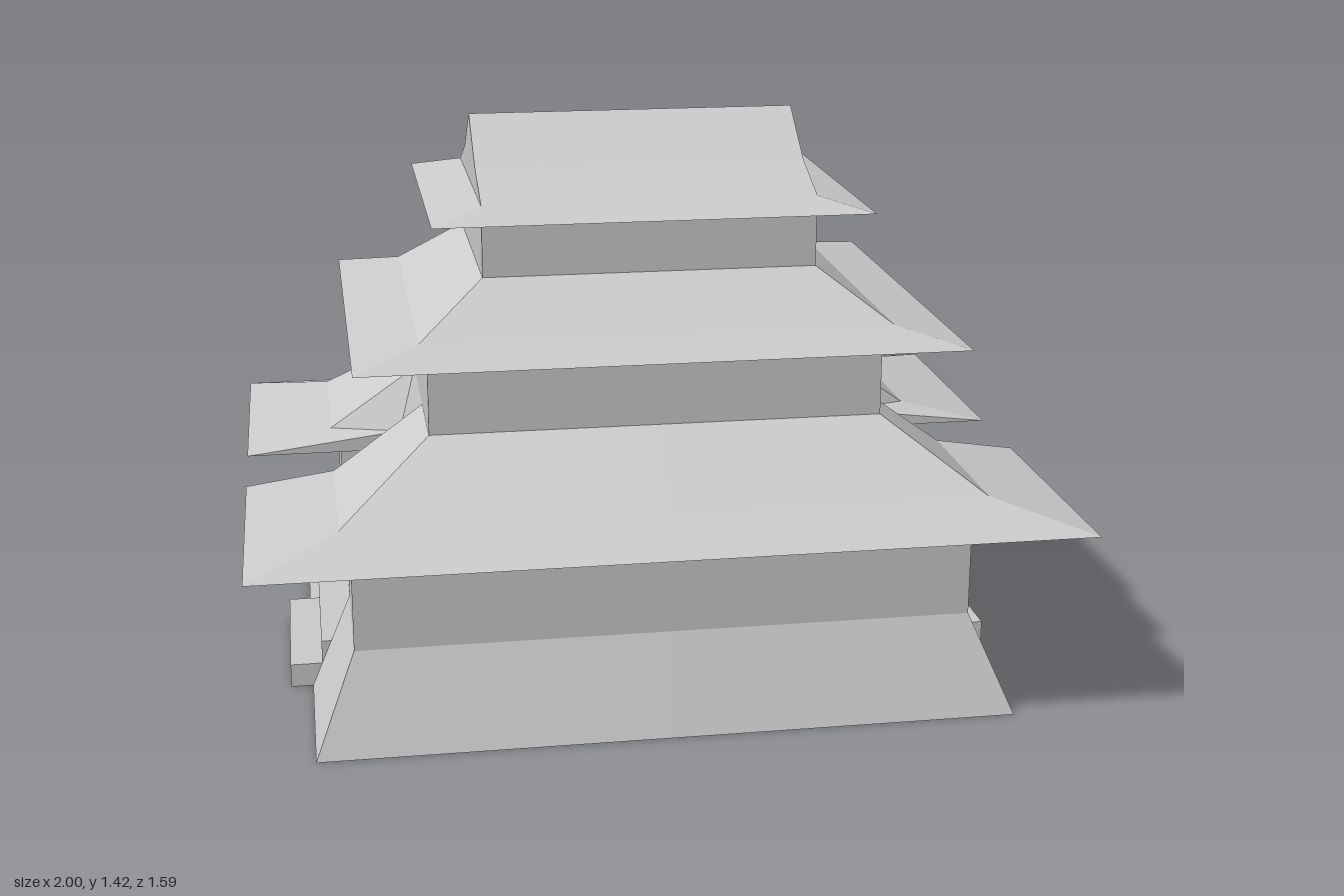
import * as THREE from 'three';

const material = new THREE.MeshStandardMaterial({ color: 0xcccccc, flatShading: true, side: THREE.DoubleSide });

// Mirrors the polygons of one quarter (+x, +z) into all four quarters.
function quarterMesh(name, polygons) {
  const pos = [];
  for (const sx of [1, -1]) for (const sz of [1, -1]) {
    for (const polygon of polygons) {
      const p = polygon.map(([x, y, z]) => [x * sx, y, z * sz]);
      if (sx * sz < 0) p.reverse().unshift(p.pop()); // keep the fan centre first
      for (let i = 1; i < p.length - 1; i++) pos.push(...p[0], ...p[i], ...p[i + 1]);
    }
  }
  const geometry = new THREE.BufferGeometry();
  geometry.setAttribute('position', new THREE.Float32BufferAttribute(pos, 3));
  geometry.computeVertexNormals();
  const mesh = new THREE.Mesh(geometry, material);
  mesh.name = name;
  return mesh;
}

// Rectangular rings [x, y, z] joined upwards; gap is the half width left open on the sides.
function shell(rings, gaps = []) {
  const out = [];
  for (let i = 0; i < rings.length - 1; i++) {
    const a = rings[i], b = rings[i + 1];
    const ga = gaps[i] || 0, gb = gaps[i + 1] || 0;
    out.push([[0, a[1], a[2]], a, b, [0, b[1], b[2]]]);
    out.push([a, [a[0], a[1], ga], [b[0], b[1], gb], b]);
  }
  return out;
}

export function createModel() {
  const model = new THREE.Group();
  model.name = 'pagoda';
  const door = 0.22, back = 0.6, notch = 0.12;

  // Ground storey: flared base and walls, open at the side doorways
  model.add(quarterMesh('groundStorey', shell(
    [[0.855, 0, 0.66], [0.755, 0.24, 0.57], [0.755, 0.51, 0.57]], [door, door, door])));

  // Recessed doorway: jambs and back wall
  model.add(quarterMesh('doorway', [
    [[0.755, 0.24, door], [0.855, 0, door], [back, 0, door], [back, 0.51, door], [0.755, 0.51, door]],
    [[back, 0.18, 0], [back, 0.56, 0], [back, 0.56, notch], [back, 0.51, notch],
      [back, 0.51, door], [back, 0.18, door]],
  ]));

  // Lower roof, notched above the doorways, with a flat underside
  const eave = [1, 0.51, 0.795], bend = [0.78, 0.56, 0.61], top = [0.555, 0.72, 0.42];
  model.add(quarterMesh('lowerRoof', [
    ...shell([eave, bend, top], [notch, 0.175, 0.165]),
    [[0, 0.51, 0.57], [0.755, 0.51, 0.57], eave, [0, 0.51, 0.795]],
    [[1, 0.51, notch], eave, [0.755, 0.51, 0.57], [0.755, 0.51, door]],
    [[1, 0.51, notch], [0.755, 0.51, door], [back, 0.51, door], [back, 0.51, notch]],
  ]));

  // Cheeks and valley lining the roof notch
  model.add(quarterMesh('roofNotch', [
    [[0.78, 0.56, 0.175], [1, 0.51, notch], [back, 0.56, notch], [0.555, 0.72, 0.165]],
    [[back, 0.56, notch], [1, 0.51, notch], [back, 0.51, notch]],
    [[0.555, 0.72, 0.165], [back, 0.56, notch], [back, 0.56, 0], [0.555, 0.72, 0]],
  ]));

  // Middle and upper storeys
  model.add(quarterMesh('middleStorey', shell([[0.555, 0.72, 0.42], [0.555, 0.92, 0.42]])));
  model.add(quarterMesh('middleRoof', shell(
    [[0.555, 0.92, 0.42], [0.735, 0.92, 0.585], [0.575, 0.955, 0.45], [0.41, 1.075, 0.31]])));
  model.add(quarterMesh('upperStorey', shell([[0.41, 1.075, 0.31], [0.41, 1.22, 0.31]])));

  // Top roof: hipped skirt, then a curved gable
  model.add(quarterMesh('topRoof', [
    ...shell([[0.41, 1.22, 0.31], [0.535, 1.22, 0.405], [0.41, 1.25, 0.31]]),
    [[0, 1.25, 0.31], [0.41, 1.25, 0.31], [0.41, 1.31, 0.155], [0, 1.31, 0.155]],
    [[0, 1.31, 0.155], [0.41, 1.31, 0.155], [0.41, 1.42, 0], [0, 1.42, 0]],
  ]));
  model.add(quarterMesh('gable', [
    [[0.41, 1.31, 0.155], [0.41, 1.25, 0.31], [0.41, 1.25, 0], [0.41, 1.42, 0]],
  ]));

  // Stairs at both side doorways; the top step reaches the back wall
  for (const side of [1, -1]) {
    const stairs = new THREE.Group();
    stairs.name = side > 0 ? 'leftStairs' : 'rightStairs';
    for (let i = 0; i < 4; i++) {
      const outer = 0.91 - 0.08 * i;
      const inner = i === 3 ? back : outer - 0.08;
      const step = new THREE.Mesh(new THREE.BoxGeometry(outer - inner, 0.06, 2 * door), material);
      step.position.set(side * (outer + inner) / 2, 0.03 + 0.06 * i, 0);
      step.name = 'step';
      stairs.add(step);
    }
    model.add(stairs);
  }
  return model;
}
